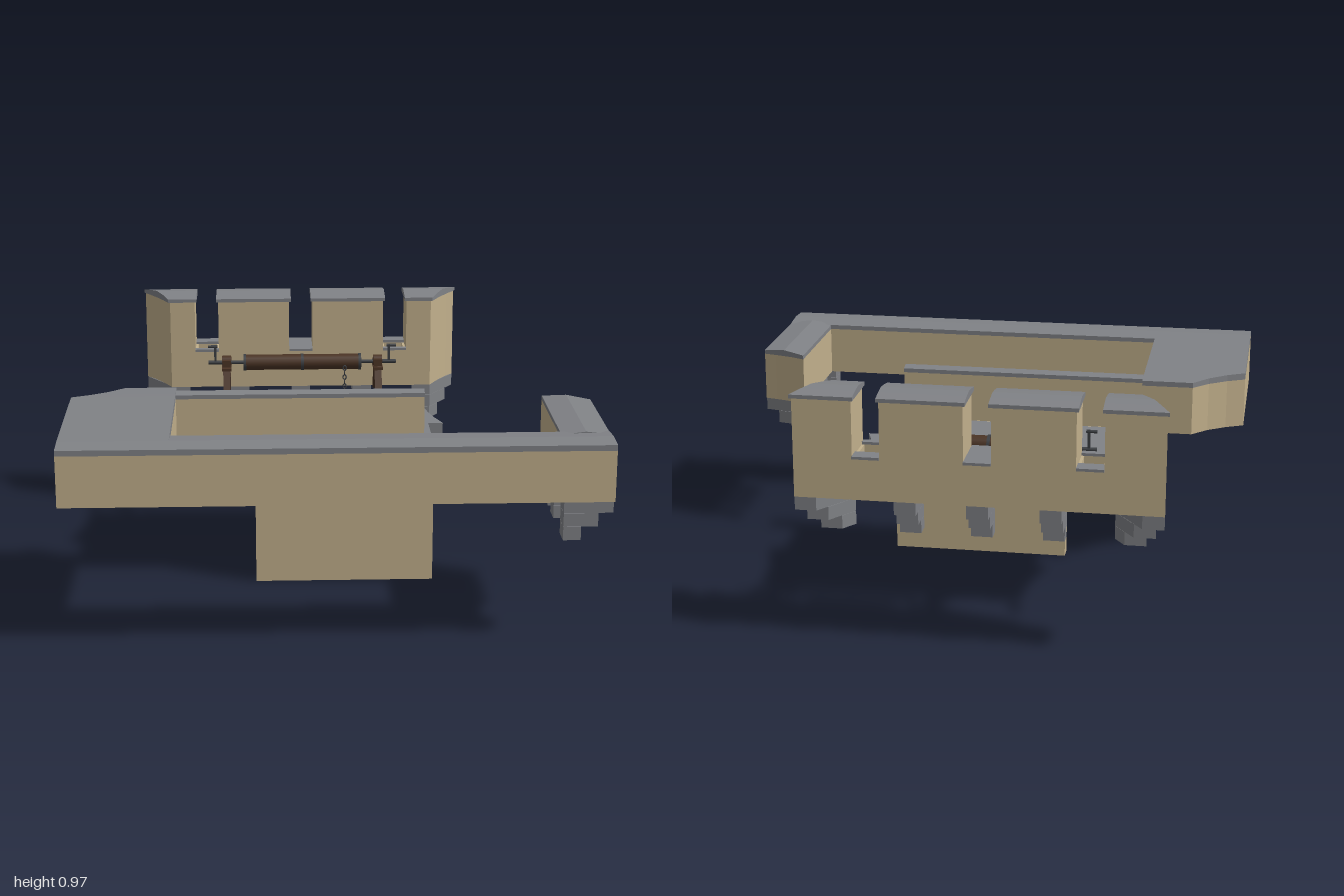
import * as THREE from 'three';

const mat = (color, flatShading = true) => new THREE.MeshStandardMaterial({ color, flatShading });
const stone = mat(0xc2b08c), slate = mat(0x808286);
const wood = mat(0x4b3425, false), iron = mat(0x3c3f43, false);

function add(parent, name, geo, material, x = 0, y = 0, z = 0) {
  const m = new THREE.Mesh(geo, material);
  m.name = name;
  m.position.set(x, y, z);
  parent.add(m);
  return m;
}

// Box given by its two opposite corners
function block(parent, name, material, x0, x1, y0, y1, z0, z1) {
  return add(parent, name, new THREE.BoxGeometry(x1 - x0, y1 - y0, z1 - z0), material,
    (x0 + x1) / 2, (y0 + y1) / 2, (z0 + z1) / 2);
}

// Plan outline of [x, z] points raised from y0 to y1
function plan(pts, y0, y1, holes = []) {
  const vec = (list) => list.map(([x, z]) => new THREE.Vector2(x, -z));
  const shape = new THREE.Shape(vec(pts));
  holes.forEach((h) => shape.holes.push(new THREE.Path(vec(h))));
  const geo = new THREE.ExtrudeGeometry(shape, { depth: y1 - y0, bevelEnabled: false });
  return geo.rotateX(-Math.PI / 2).translate(0, y0, 0);
}

// Slab with a ridged top, lofted over rows of [z, xLeft, xRight, yTop], with z falling
function ridgedSlab(rows, y0) {
  const pos = [], idx = [];
  rows.forEach(([z, l, r, y]) => pos.push(l, y0, z, r, y0, z, r, y, z, l, y, z));
  for (let i = 0; i < rows.length - 1; i++) {
    for (let k = 0; k < 4; k++) {
      const a = i * 4 + k, b = i * 4 + (k + 1) % 4;
      idx.push(a, a + 4, b, b, a + 4, b + 4);
    }
  }
  const e = (rows.length - 1) * 4;
  idx.push(0, 1, 2, 0, 2, 3, e, e + 2, e + 1, e, e + 3, e + 2);
  const geo = new THREE.BufferGeometry();
  geo.setAttribute('position', new THREE.Float32BufferAttribute(pos, 3));
  geo.setIndex(idx);
  const flat = geo.toNonIndexed();
  flat.computeVertexNormals();
  return flat;
}

// Three-step bracket reaching along its own +x; lo and hi slant its two sides
function corbel(parent, x, z, angle, reach, lo = 0, hi = 0) {
  const g = new THREE.Group();
  g.name = 'corbel';
  [1, 0.7, 0.36].forEach((f, i) => {
    const r = reach * f, top = 0.567 - i * 0.052;
    const outline = [[0, -0.04], [0, 0.04], [r, 0.04 + hi * r], [r, -0.04 + lo * r]];
    add(g, 'corbelStep', plan(outline, top - 0.051, top), slate);
  });
  g.position.set(x, 0, z);
  g.rotation.y = angle;
  parent.add(g);
}

// Front parapet: long bar, broad left-hand block and narrow arm
function parapet(root) {
  const g = new THREE.Group();
  g.name = 'frontParapet';
  const outline = [[-1, 0.89], [1, 0.89], [1, 0.28], [0.95, 0.268], [0.88, 0.247], [0.82, 0.22], [0.82, 0.71],
    [-0.6, 0.71], [-0.6, 0.07], [-0.8, 0.07], [-0.86, 0.135], [-0.93, 0.185], [-1, 0.22]];
  add(g, 'parapetWall', plan(outline, 0.567, 0.76), stone);
  add(g, 'parapetCap', plan(outline, 0.76, 0.775), slate);
  add(g, 'barRidge', ridgedSlab([[0.89, -1, 1, 0.781], [0.8, -1, 1, 0.787], [0.71, -1, 1, 0.778]], 0.77), slate);
  add(g, 'blockRidge', ridgedSlab([[0.8, -1, -0.6, 0.787], [0.22, -1, -0.6, 0.786], [0.185, -0.93, -0.6, 0.785],
    [0.135, -0.86, -0.6, 0.783], [0.07, -0.8, -0.6, 0.78]], 0.77), slate);
  // narrow arm ridge runs front to back, its end following the slanted outline
  const gable = new THREE.Shape([[0.82, 0.77], [1, 0.77], [1, 0.776], [0.91, 0.787], [0.82, 0.776]]
    .map(([x, y]) => new THREE.Vector2(x, y)));
  const arm = new THREE.ExtrudeGeometry(gable, { depth: 0.52, bevelEnabled: false });
  const p = arm.attributes.position;
  for (let i = 0; i < p.count; i++) {
    if (p.getZ(i) < 0.01) p.setZ(i, (p.getX(i) - 0.82) * 0.33);
  }
  arm.computeVertexNormals();
  add(g, 'armRidge', arm, slate, 0, 0, 0.222);
  [0.82, 0.58, 0.437].forEach((z) => corbel(g, 0.82, z, 0, 0.18));
  corbel(g, 0.82, 0.283, 0, 0.18, 0.24);
  root.add(g);
}

// Inner wall with its coping, and the walkway floor behind it
function innerWallAndFloor(root) {
  const g = new THREE.Group();
  g.name = 'walkway';
  block(g, 'lowerWall', stone, -0.295, 0.41, 0, 0.508, 0.108, 0.17);
  block(g, 'wallBase', stone, -0.6, 0.41, 0.508, 0.567, 0.108, 0.17);
  block(g, 'innerParapet', stone, -0.6, 0.37, 0.567, 0.76, 0.11, 0.165);
  add(g, 'innerCap', ridgedSlab([[0.17, -0.6, 0.37, 0.776], [0.137, -0.6, 0.37, 0.786],
    [0.105, -0.6, 0.37, 0.776]], 0.76), slate);
  const half = [[0.505, 0.108], [0.505, -0.12], [0.565, -0.12], [0.537, -0.2], [0.517, -0.28],
    [0.504, -0.36], [0.499, -0.43], [0.501, -0.495]];
  const mirrored = half.map(([x, z]) => [-x, z]).reverse();
  add(g, 'floor', plan([...half, ...mirrored], 0.508, 0.567), slate, -0.095);
  for (const s of [-1, 1]) {
    const sliver = [[0.502, -0.525], [0.512, -0.6], [0.52, -0.6]].map(([x, z]) => [s * x, z]);
    add(g, 'floorEdge', plan(sliver, 0.508, 0.567), slate, -0.095);
  }
  root.add(g);
}

// Battlement at the back with splayed ends
function battlement(root) {
  const g = new THREE.Group();
  g.name = 'battlement';
  g.position.x = -0.095;
  const side = [[0.56, -0.7], [0.585, -0.75], [0.612, -0.8], [0.642, -0.845], [0.673, -0.882]];
  const flip = (pts) => pts.map(([x, z]) => [-x, z]);
  const holes = [-1, 1].map((s) => [[s * 0.365, -0.72], [s * 0.445, -0.72], [s * 0.445, -0.83], [s * 0.365, -0.83]]);
  add(g, 'battlementWall', plan([...side, ...flip(side).reverse()], 0.567, 0.725, holes), stone);
  const rise = [0.957, 0.966, 0.972, 0.966, 0.957];
  const capZ = [-0.692, -0.745, -0.795, -0.845, -0.893];
  for (const s of [-1, 1]) {
    // end merlon
    const end = [[0.455, -0.7], ...side, [0.455, -0.882]];
    add(g, 'endMerlon', plan(s > 0 ? end : flip(end), 0.725, 0.945), stone);
    add(g, 'endMerlonCap', ridgedSlab(capZ.map((z, i) => {
      const outer = side[i][0] + 0.007;
      return s > 0 ? [z, 0.447, outer, rise[i]] : [z, -outer, -0.447, rise[i]];
    }), 0.943), slate);
    // middle merlon
    const c = s * 0.2025;
    block(g, 'merlon', stone, c - 0.152, c + 0.152, 0.725, 0.945, -0.882, -0.7);
    add(g, 'merlonCap', ridgedSlab(capZ.map((z, i) => [z, c - 0.16, c + 0.16, rise[i]]), 0.943), slate);
    // open sill: a strip on each side of the drop hole
    const a = s * 0.405;
    block(g, 'sillInner', slate, a - 0.05, a + 0.05, 0.725, 0.735, -0.72, -0.692);
    block(g, 'sillOuter', slate, a - 0.05, a + 0.05, 0.725, 0.735, -0.892, -0.83);
    // slanted corbel under the splayed end
    corbel(g, s * 0.522, -0.72, Math.PI / 2, 0.16, s * 0.69, s * 0.69);
  }
  block(g, 'middleSill', slate, -0.05, 0.05, 0.725, 0.735, -0.892, -0.692);
  [-0.265, 0, 0.265].forEach((x) => corbel(g, x, -0.72, Math.PI / 2, 0.16));
  root.add(g);
}

// Winch: trestles, drum, axle, cranks and hanging chain
function winch(root) {
  const g = new THREE.Group();
  g.name = 'winch';
  g.position.set(-0.092, 0, -0.588);
  const rod = (name, r, len, m, x, y) =>
    add(g, name, new THREE.CylinderGeometry(r, r, len, 16).rotateZ(Math.PI / 2), m, x, y, 0);
  const Y = 0.705;
  rod('drum', 0.033, 0.5, wood, 0, Y);
  rod('axle', 0.008, 0.8, iron, 0, Y);
  [-0.245, 0, 0.245].forEach((x) => rod('drumBand', 0.036, 0.012, iron, x, Y));
  for (const s of [-1, 1]) {
    const x = s * 0.322;
    for (const t of [-1, 1]) {
      const leg = add(g, 'trestleLeg', new THREE.BoxGeometry(0.03, 0.16, 0.022), wood, x, 0.64, t * 0.054);
      leg.rotation.x = -t * 0.5;
    }
    block(g, 'crossbar', wood, x - 0.02, x + 0.02, 0.68, 0.692, -0.058, 0.058);
    block(g, 'bearing', wood, x - 0.017, x + 0.017, 0.69, 0.722, -0.038, 0.038);
    rod('bearingHub', 0.024, 0.038, wood, x, 0.71);
    // crank arm and grip
    block(g, 'crankArm', iron, s * 0.37 - 0.005, s * 0.37 + 0.005, Y, 0.78, -0.005, 0.005);
    rod('crankGrip', 0.006, 0.04, iron, s * 0.38, 0.775);
  }
  for (let i = 0; i < 6; i++) {
    const link = add(g, 'chainLink', new THREE.TorusGeometry(0.007, 0.0025, 6, 10), iron, 0.18, 0.685 - i * 0.02, 0.034);
    link.scale.y = 1.4;
    link.rotation.y = i % 2 ? Math.PI / 2 : 0;
  }
  root.add(g);
}

export function createModel() {
  const root = new THREE.Group();
  root.name = 'castleWallTop';
  parapet(root);
  innerWallAndFloor(root);
  battlement(root);
  winch(root);
  return root;
}
